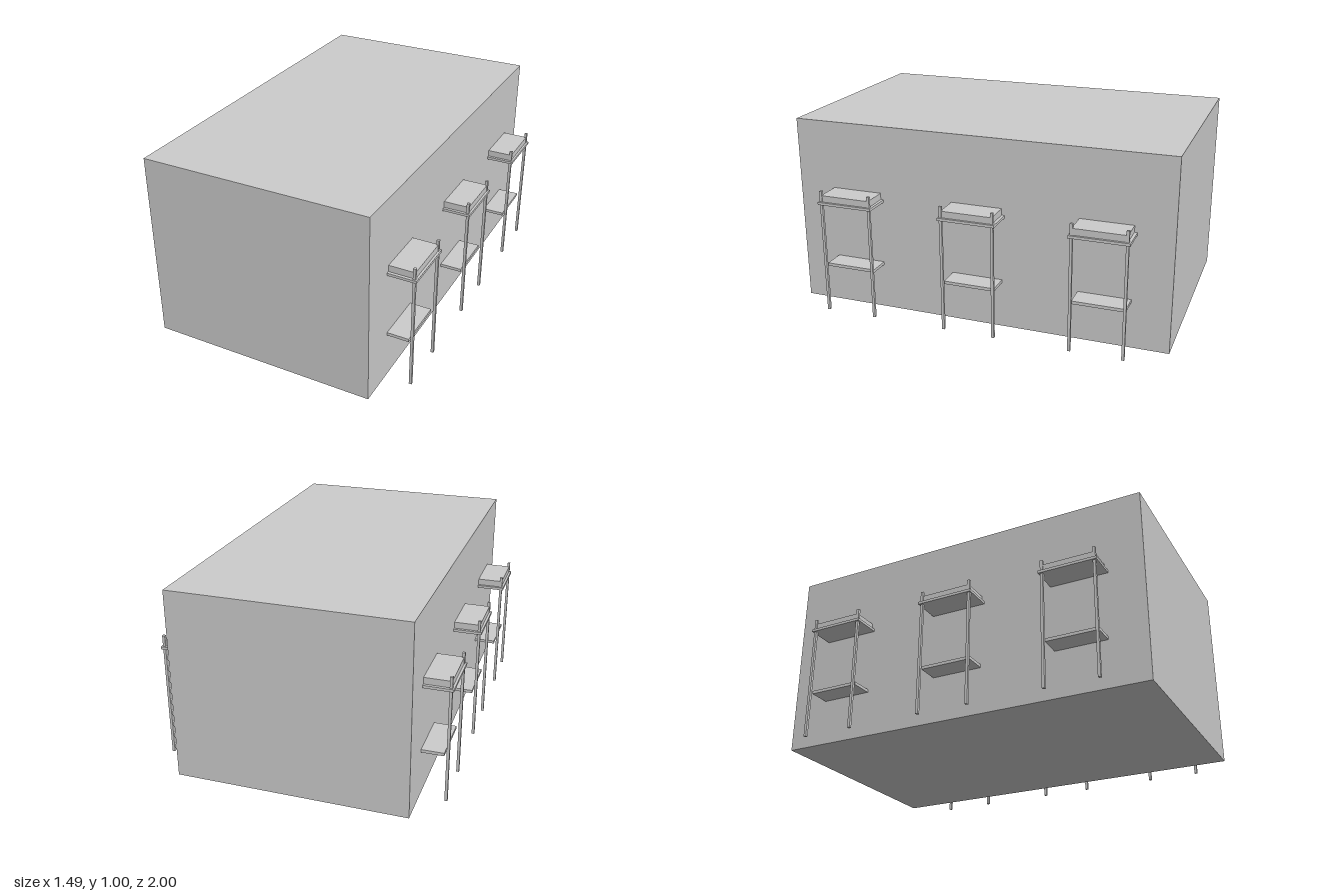
import * as THREE from 'three';

const material = new THREE.MeshStandardMaterial({ color: 0xcccccc, flatShading: true });

// Box given by its minimum and maximum on each axis
function box(name, [x0, x1], [y0, y1], [z0, z1]) {
  const mesh = new THREE.Mesh(new THREE.BoxGeometry(x1 - x0, y1 - y0, z1 - z0), material);
  mesh.name = name;
  mesh.position.set((x0 + x1) / 2, (y0 + y1) / 2, (z0 + z1) / 2);
  return mesh;
}

// Stand projecting from a side wall towards +x
function createStand() {
  const stand = new THREE.Group();
  stand.name = 'stand';
  const inner = 0.58; // tucked slightly into the wall
  stand.add(
    box('topBoard', [inner, 0.747], [0.595, 0.609], [-0.15, 0.15]),
    box('topPad', [inner, 0.735], [0.609, 0.643], [-0.135, 0.135]),
    box('lowerShelf', [inner, 0.713], [0.243, 0.259], [-0.135, 0.135])
  );
  // Outer posts rise past the top board
  for (const z of [-0.135, 0.135]) {
    stand.add(box('post', [0.725, 0.739], [0, 0.667], [z - 0.007, z + 0.007]));
  }
  return stand;
}

export function createModel() {
  const model = new THREE.Group();
  model.name = 'blockWithStands';

  // Main block
  model.add(box('mainBlock', [-0.6, 0.6], [0, 1], [-1, 1]));

  // Three stands along each side
  for (const turn of [0, Math.PI]) {
    for (const z of [-0.667, 0, 0.667]) {
      const stand = createStand();
      stand.rotation.y = turn;
      stand.position.z = z;
      model.add(stand);
    }
  }
  return model;
}
